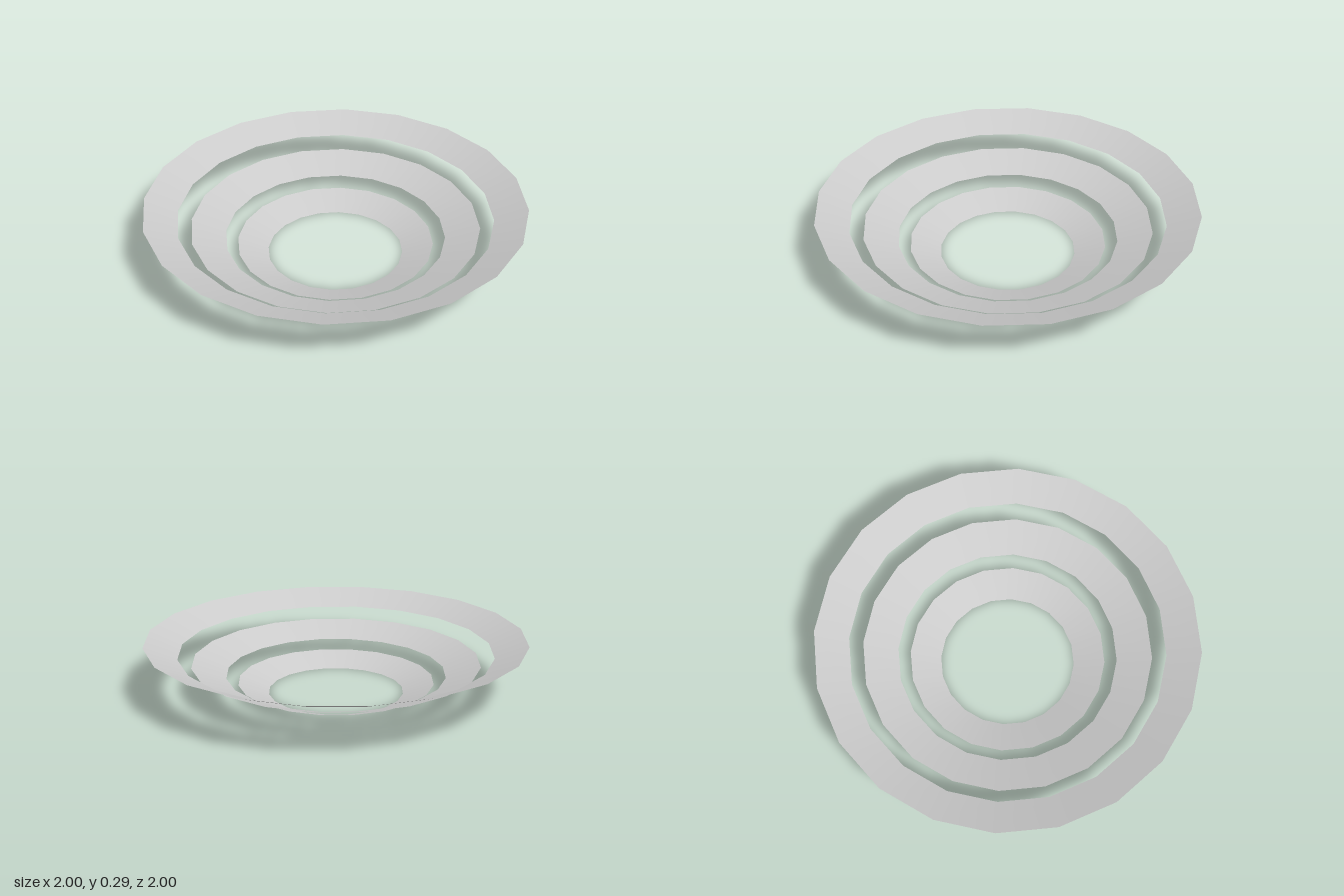
import * as THREE from 'three';

const SIDES = 20;

// Each ring: inner radius, lower height, outer radius, upper height
const RINGS = [
  { name: 'lowerRing', profile: [[0.355, 0], [0.515, 0.058]] },
  { name: 'middleRing', profile: [[0.577, 0.099], [0.757, 0.165]] },
  { name: 'upperRing', profile: [[0.826, 0.217], [1, 0.288]] },
];

export function createModel() {
  const model = new THREE.Group();
  model.name = 'tieredRings';
  const material = new THREE.MeshStandardMaterial({ color: 0xcccccc, side: THREE.DoubleSide });

  // Thin sloping bands, open at top and bottom
  for (const { name, profile } of RINGS) {
    const points = profile.map(([r, y]) => new THREE.Vector2(r, y));
    const ring = new THREE.Mesh(new THREE.LatheGeometry(points, SIDES), material);
    ring.name = name;
    model.add(ring);
  }
  return model;
}
